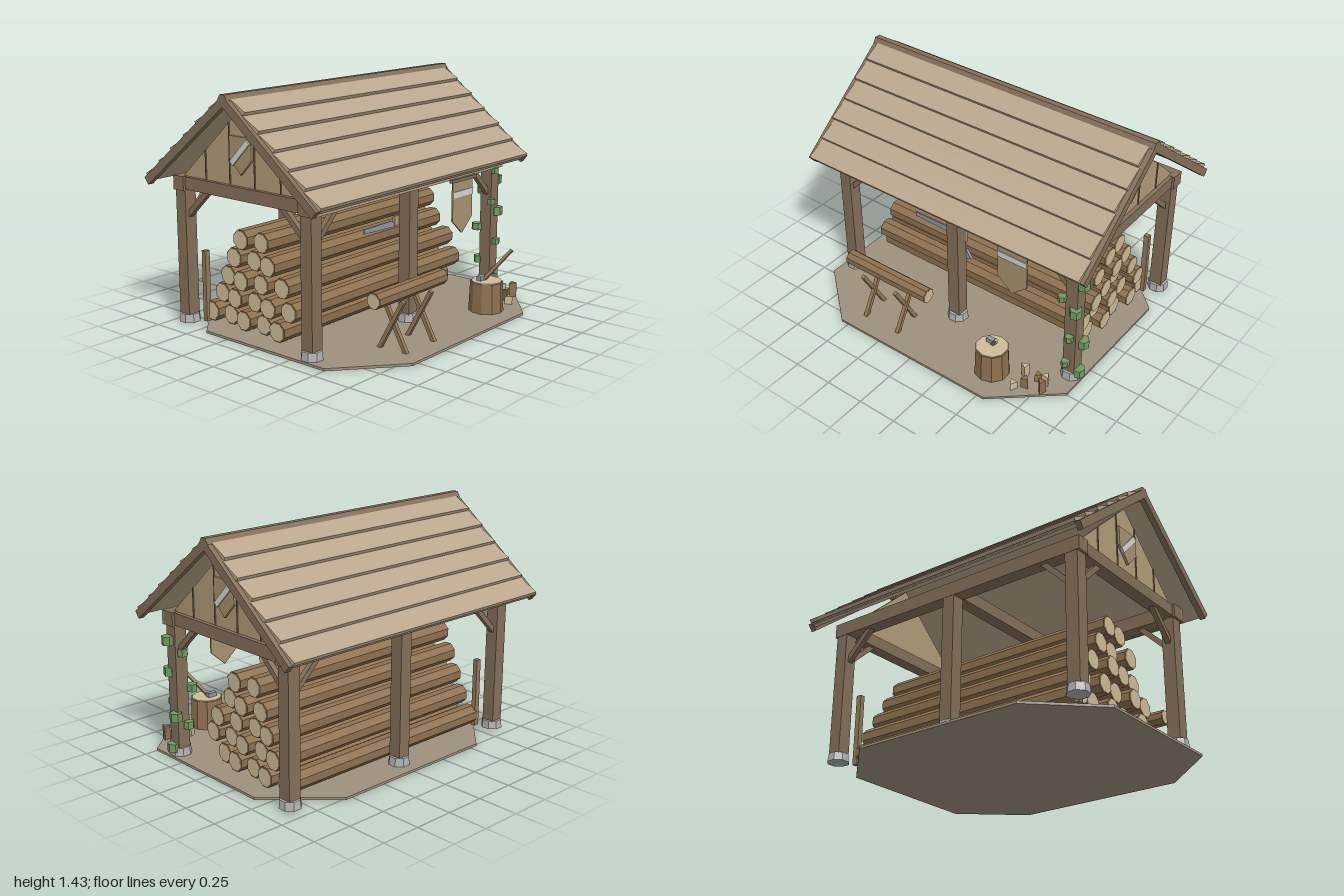
import * as THREE from 'three';

const mats = {};
const mat = (color) => (mats[color] ??= new THREE.MeshStandardMaterial({ color, flatShading: true, roughness: 0.9, side: THREE.DoubleSide }));
const C = {
  post: 0x84705a, roof: 0xb9a68d, tan: 0xb39d7a, bark: 0x8e7250, cut: 0xcfbd98, ground: 0x9c917d,
  stone: 0xb0b0b0, steel: 0x8e98a6, cloth: 0xa69470, white: 0xd9d8ce, leaf: 0x6f9c62, board: 0x957a58,
};
const RIDGE_Z = -0.145, POST_X = 0.845, FRONT_Z = 0.35, BACK_Z = -0.64;

function add(parent, name, geometry, color, x = 0, y = 0, z = 0) {
  const m = new THREE.Mesh(geometry, mat(color));
  m.name = name;
  m.position.set(x, y, z);
  parent.add(m);
  return m;
}
const box = (parent, name, color, w, h, d, x, y, z) => add(parent, name, new THREE.BoxGeometry(w, h, d), color, x, y, z);

// Square bar running between two points
function bar(parent, name, color, a, b, w, d = w) {
  const p = new THREE.Vector3(...a), q = new THREE.Vector3(...b);
  const dir = q.clone().sub(p);
  const m = box(parent, name, color, w, dir.length(), d, 0, 0, 0);
  m.position.copy(p).add(q).multiplyScalar(0.5);
  m.quaternion.setFromUnitVectors(new THREE.Vector3(0, 1, 0), dir.normalize());
  return m;
}

// Flat plate from an outline
function plate(parent, name, color, pts, depth, x, y, z) {
  const shape = new THREE.Shape(pts.map((p) => new THREE.Vector2(...p)));
  return add(parent, name, new THREE.ExtrudeGeometry(shape, { depth, bevelEnabled: false }), color, x, y, z);
}

// Eight-sided log along x, with pale cut ends
function log(parent, name, x0, x1, y, z, r) {
  const g = new THREE.Group();
  g.name = name;
  const make = (part, radius, len, color) => {
    const geo = new THREE.CylinderGeometry(radius, radius, len, 8);
    geo.rotateY(Math.PI / 8).rotateZ(Math.PI / 2);
    add(g, part, geo, color);
  };
  make('bark', r, x1 - x0, C.bark);
  make('cutEnds', r * 0.89, x1 - x0 + 0.006, C.cut);
  g.position.set((x0 + x1) / 2, y, z);
  parent.add(g);
}

function buildFrame(root) {
  const g = new THREE.Group();
  g.name = 'frame';
  root.add(g);
  for (const z of [FRONT_Z, BACK_Z]) {
    const inward = z > 0 ? -1 : 1;
    for (const x of [-POST_X, 0, POST_X]) {
      box(g, 'post', C.post, 0.08, 0.8, 0.08, x, 0.435, z);
      const foot = new THREE.CylinderGeometry(0.06, 0.066, 0.05, 8).rotateY(Math.PI / 8);
      add(g, 'stoneFoot', foot, C.stone, x, 0.04, z);
    }
    box(g, 'wallPlate', C.post, 1.8, 0.085, 0.085, 0, 0.862, z);
    for (const s of [-1, 1]) {
      bar(g, 'frontBrace', C.post, [s * 0.815, 0.655, z], [s * 0.64, 0.83, z], 0.032);
      bar(g, 'sideBrace', C.post, [s * POST_X, 0.67, z + inward * 0.03], [s * POST_X, 0.84, z + inward * 0.21], 0.032);
    }
  }
  for (const x of [-POST_X, 0, POST_X])
    box(g, 'tieBeam', C.post, 0.08, 0.075, 1.07, x, 0.865, RIDGE_Z);
  box(g, 'frontBoard', C.tan, 1.8, 0.085, 0.015, 0, 0.86, 0.4);
}

function buildGables(root) {
  for (const s of [-1, 1]) {
    const g = new THREE.Group();
    g.name = 'gable';
    g.position.set(s * 0.84, 0, RIDGE_Z);
    g.rotation.y = s * Math.PI / 2;
    root.add(g);
    plate(g, 'gablePanel', C.tan, [[-0.49, 0.9], [0.49, 0.9], [0, 1.345]], 0.02, 0, 0, 0);
    for (const u of [-0.295, -0.098, 0.098, 0.295]) {
      const h = 0.445 * (1 - Math.abs(u) / 0.49);
      box(g, 'batten', C.post, 0.007, h, 0.008, u, 0.9 + h / 2, 0.022);
    }
    plate(g, 'shieldPlaque', C.cloth, [[-0.087, 1.185], [-0.087, 1.06], [0, 0.97], [0.087, 1.06], [0.087, 1.185]], 0.015, 0, 0, 0.02);
    bar(g, 'plaqueStripe', C.white, [-0.067, 1.03, 0.038], [0.067, 1.165, 0.038], 0.034, 0.01);
  }
}

function buildRoof(root) {
  const len = 0.843, pitch = Math.atan(0.8);
  for (const s of [-1, 1]) {
    // Local +z runs down the slope, local +y is its outward normal
    const turn = new THREE.Group();
    turn.name = s > 0 ? 'frontSlope' : 'backSlope';
    turn.position.set(0, 1.395, RIDGE_Z);
    turn.rotation.y = s > 0 ? 0 : Math.PI;
    root.add(turn);
    const g = new THREE.Group();
    g.rotation.x = pitch;
    turn.add(g);
    box(g, 'roofDeck', C.roof, 1.93, 0.02, len - 0.01, 0, 0.005, len / 2);
    for (const e of [-1, 1])
      box(g, 'bargeBoard', C.post, 0.035, 0.05, len, e * 0.9825, 0, len / 2);
    for (let i = 0; i < 6; i++) {
      const m = box(g, 'roofPlank', C.roof, 1.95 - 0.012 * (i % 2), 0.022, 0.165, 0, 0.025, len - 0.08 - i * 0.14);
      m.rotation.x = -0.17;
    }
  }
  const cap = new THREE.CylinderGeometry(0.036, 0.036, 2, 6).rotateZ(Math.PI / 2);
  add(root, 'ridgeCap', cap, C.post, 0, 1.4, RIDGE_Z);
}

function buildWoodpile(root) {
  const g = new THREE.Group();
  g.name = 'woodpile';
  root.add(g);
  // Each row: count, first log z, height
  const rows = [[5, 0.045, 0.083], [5, 0.115, 0.205], [4, 0.04, 0.325], [3, -0.035, 0.447], [2, -0.105, 0.567]];
  rows.forEach(([n, z, y], r) => {
    for (let i = 0; i < n; i++) {
      const shift = 0.012 * (((i * 3 + r * 2) % 5) - 2);
      log(g, 'log', -0.78 + shift, 0.775 + shift, y, z - i * 0.14, 0.062);
    }
  });
  for (const s of [-1, 1]) box(g, 'stake', C.board, 0.035, 0.435, 0.03, s * 0.785, 0.232, -0.552);
}

function buildYard(root) {
  // Sawhorse with a log on crossed legs
  const horse = new THREE.Group();
  horse.name = 'sawhorse';
  root.add(horse);
  log(horse, 'sawhorseLog', -0.63, -0.015, 0.34, 0.605, 0.048);
  for (const x of [-0.46, -0.205])
    for (const s of [-1, 1])
      bar(horse, 'leg', C.board, [x + s * 0.006, 0.01, 0.605 + s * 0.09], [x + s * 0.006, 0.31, 0.605 - s * 0.075], 0.024);

  // Chopping block and its axe
  const block = new THREE.Group();
  block.name = 'choppingBlock';
  root.add(block);
  add(block, 'stump', new THREE.CylinderGeometry(0.1, 0.107, 0.185, 10), C.bark, 0.455, 0.108, 0.605);
  add(block, 'stumpTop', new THREE.CylinderGeometry(0.094, 0.094, 0.006, 10), C.cut, 0.455, 0.202, 0.605);
  bar(block, 'axeHandle', C.board, [0.44, 0.195, 0.585], [0.565, 0.39, 0.71], 0.018);
  box(block, 'axeHead', C.steel, 0.06, 0.04, 0.03, 0.435, 0.212, 0.58);

  // Split firewood
  [[0.64, 0.65], [0.69, 0.6], [0.64, 0.53], [0.72, 0.51], [0.775, 0.51], [0.79, 0.58]].forEach(([x, z], i) => {
    const h = 0.05 + 0.02 * (i % 3);
    add(root, 'splitWood', new THREE.CylinderGeometry(0.027, 0.027, h, 3).rotateY(i * 1.3), i % 2 ? C.bark : C.cut, x, 0.015 + h / 2, z);
  });
}

function buildHangings(root) {
  // Banner under the front eave
  const x = 0.455;
  plate(root, 'banner', C.cloth, [[-0.102, 0.82], [-0.102, 0.56], [0, 0.47], [0.102, 0.56], [0.102, 0.82]], 0.01, x, 0, 0.405);
  box(root, 'bannerStripe', C.white, 0.204, 0.038, 0.006, x, 0.722, 0.417);
  box(root, 'bannerRod', C.post, 0.25, 0.02, 0.025, x, 0.812, 0.415);

  // Saw and axe hung behind the middle post
  plate(root, 'sawBlade', C.steel, [[-0.35, 0.632], [-0.35, 0.605], [-0.06, 0.595], [-0.1, 0.635]], 0.008, 0, 0, 0.298);
  box(root, 'sawHandle', C.tan, 0.05, 0.06, 0.018, -0.05, 0.63, 0.3);
  bar(root, 'hungAxeHandle', C.tan, [0.042, 0.765, 0.3], [0.01, 0.4, 0.3], 0.018);
  plate(root, 'hungAxeHead', C.steel, [[-0.01, 0.44], [0.075, 0.47], [0.04, 0.525], [-0.01, 0.5]], 0.018, 0, 0, 0.291);

  // Ivy climbing the front left post
  const ivy = new THREE.Group();
  ivy.name = 'ivy';
  root.add(ivy);
  [[0.815, 0.805, 0.408], [0.9, 0.73, 0.36], [0.845, 0.66, 0.295], [0.79, 0.605, 0.403], [0.875, 0.53, 0.388],
    [0.785, 0.43, 0.298], [0.85, 0.335, 0.405], [0.893, 0.265, 0.32], [0.82, 0.205, 0.296], [0.835, 0.14, 0.408], [0.895, 0.065, 0.352],
  ].forEach(([lx, y, z], i) => {
    const r = 0.026 + 0.006 * ((i * 2) % 3);
    add(ivy, 'leafClump', new THREE.CylinderGeometry(r, r, r * 1.4, 6).rotateY(i * 0.7), C.leaf, lx, y, z);
  });
}

export function createModel() {
  const root = new THREE.Group();
  root.name = 'woodshed';

  // Ground slab with cut corners
  const outline = [[-0.915, 0.5], [-0.55, 0.815], [0.55, 0.815], [0.915, 0.5], [0.915, -0.42], [0.55, -0.765], [-0.55, -0.765], [-0.915, -0.42]];
  const slab = plate(root, 'ground', C.ground, outline, 0.015, 0, 0.015, 0);
  slab.rotation.x = Math.PI / 2;

  buildFrame(root);
  buildGables(root);
  buildRoof(root);
  buildWoodpile(root);
  buildYard(root);
  buildHangings(root);
  return root;
}
